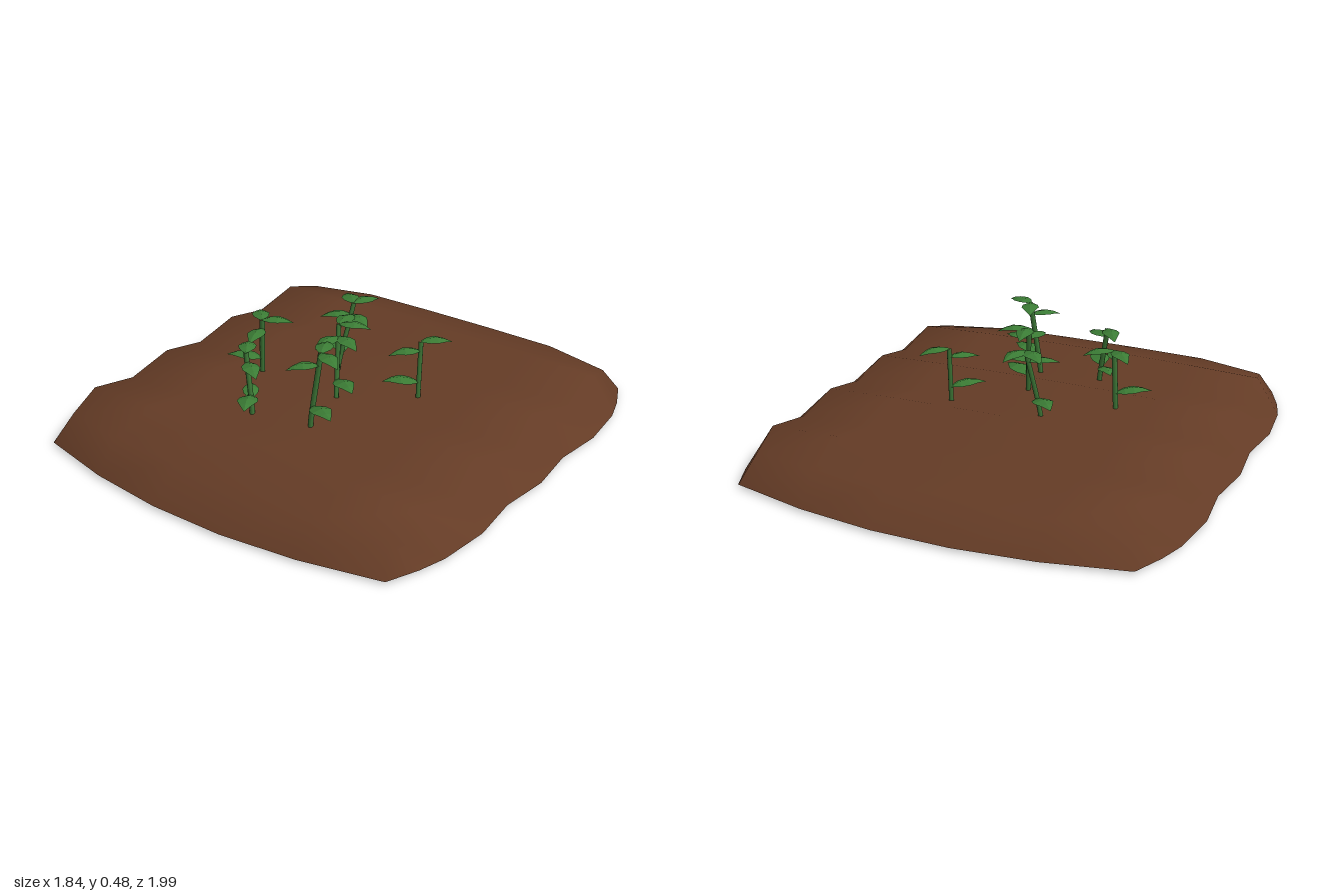
import * as THREE from 'three';

const mat = (name, color, opts = {}) => {
  const m = new THREE.MeshStandardMaterial({ color, ...opts });
  m.name = name;
  return m;
};

// Thin open shell of earth: evenly furrowed along x, with a sloping skirt
function soilGeometry() {
  const rows = 10, cols = 7, pitch = 0.215;
  const geo = new THREE.PlaneGeometry(2, 2, cols, rows);
  const pos = geo.attributes.position;
  for (let j = 0; j <= rows; j++) {
    for (let i = 0; i <= cols; i++) {
      const side = i === 0 || i === cols, end = j === 0 || j === rows;
      const nearSide = i === 1 || i === cols - 1, nearEnd = j === 1 || j === rows - 1;
      let x = (i - cols / 2) * 0.32;
      let z = (j - rows / 2) * pitch;
      let y = (0.156 - 0.023 * Math.cos((z / pitch) * Math.PI)) * (1.01 - 0.14 * x * x);
      if (side) {
        // Wavy long edges, cut in at the corners
        x = Math.sign(x) * (end ? 0.81 : nearEnd ? 0.865 : 0.91 + 0.012 * Math.cos(z * 14));
        if (nearEnd) z *= 0.88;
      } else if (nearSide && nearEnd) {
        x *= 0.96;
        z *= 0.93;
      }
      if (end) z = Math.sign(z) * (1 - 0.18 * x * x);
      if (side || end) y = 0.012;
      pos.setXYZ(j * (cols + 1) + i, x, y, z);
    }
  }
  geo.computeVertexNormals();
  return geo;
}

// Pointed leaf folded along its midrib, arching from base to tip
function leafGeometry(base, heading, len, rise) {
  const a = THREE.MathUtils.degToRad(heading);
  const dir = new THREE.Vector3(Math.cos(a) * len, rise, Math.sin(a) * len);
  const side = new THREE.Vector3(-Math.sin(a), 0, Math.cos(a));
  const widths = [0.06, 0.24, 0.28, 0.16, 0.01];
  const points = [], index = [];
  widths.forEach((w, k) => {
    const t = k / (widths.length - 1);
    const mid = base.clone().addScaledVector(dir, t);
    mid.y += Math.sin(t * Math.PI) * len * 0.14;
    for (const s of [-1, 0, 1]) {
      const p = mid.clone().addScaledVector(side, s * w * len);
      p.y -= Math.abs(s) * w * len * 0.3;
      points.push(p);
    }
    if (k === 0) return;
    for (const c of [0, 1]) {
      const p = (k - 1) * 3 + c, q = p + 3;
      index.push(p, p + 1, q, q, p + 1, q + 1);
    }
  });
  const geo = new THREE.BufferGeometry().setFromPoints(points);
  geo.setIndex(index);
  const flat = geo.toNonIndexed();
  flat.computeVertexNormals();
  return flat;
}

// Ground point (x, z), stem top, headings in degrees of crown leaves and low leaves
const PLANTS = [
  { foot: [-0.11, -0.09], top: [-0.07, 0.45, -0.15], crown: [219, 24, 288, 145], low: [225] },
  { foot: [0.295, -0.09], top: [0.29, 0.39, -0.11], crown: [311, 135], low: [140] },
  { foot: [-0.355, 0.11], top: [-0.34, 0.4, 0.12], crown: [225, 75, 325], low: [153] },
  { foot: [0.045, 0.13], top: [0.015, 0.46, 0.07], crown: [263, 21, 335, 98], low: [30] },
  { foot: [-0.17, 0.4], top: [-0.21, 0.39, 0.38], crown: [236, 35], low: [60, 230] },
  { foot: [0.09, 0.36], top: [0.13, 0.47, 0.34], crown: [25, 135, 247], low: [27] },
];

export function createModel() {
  const soil = mat('soil brown', 0x653c26, { side: THREE.DoubleSide });
  const rootMat = mat('root brown', 0x6e412c);
  const stemMat = mat('stem green', 0x3c7636);
  const leafMat = mat('leaf green', 0x3b7c35, { side: THREE.DoubleSide, flatShading: true });

  const model = new THREE.Group();
  model.name = 'plantedSoil';
  const add = (parent, geo, material, name) => {
    const mesh = new THREE.Mesh(geo, material);
    mesh.name = name;
    parent.add(mesh);
  };

  add(model, soilGeometry(), soil, 'soilMound');

  for (const { foot: [x, z], top, crown, low } of PLANTS) {
    const plant = new THREE.Group();
    plant.name = 'seedling';
    const foot = new THREE.Vector3(x, 0.15, z), tip = new THREE.Vector3(...top);
    const neck = new THREE.Vector3(x, 0.12, z), rootEnd = new THREE.Vector3(x, 0, z);

    // Stem above ground, root below
    const stem = new THREE.CatmullRomCurve3([neck, foot, tip]);
    add(plant, new THREE.TubeGeometry(stem, 8, 0.011, 6), stemMat, 'stem');
    add(plant, new THREE.TubeGeometry(new THREE.LineCurve3(rootEnd, neck), 1, 0.011, 6), rootMat, 'root');

    // Crown leaves alternate between the tip and a little below it
    crown.forEach((heading, k) => {
      const base = foot.clone().lerp(tip, k % 2 ? 0.84 : 1);
      add(plant, leafGeometry(base, heading, 0.13, -0.015), leafMat, 'crownLeaf');
    });
    low.forEach((heading, k) => {
      const base = foot.clone().lerp(tip, 0.28 - 0.05 * k);
      add(plant, leafGeometry(base, heading, 0.15 - 0.03 * k, 0.005), leafMat, 'lowLeaf');
    });
    model.add(plant);
  }
  return model;
}
